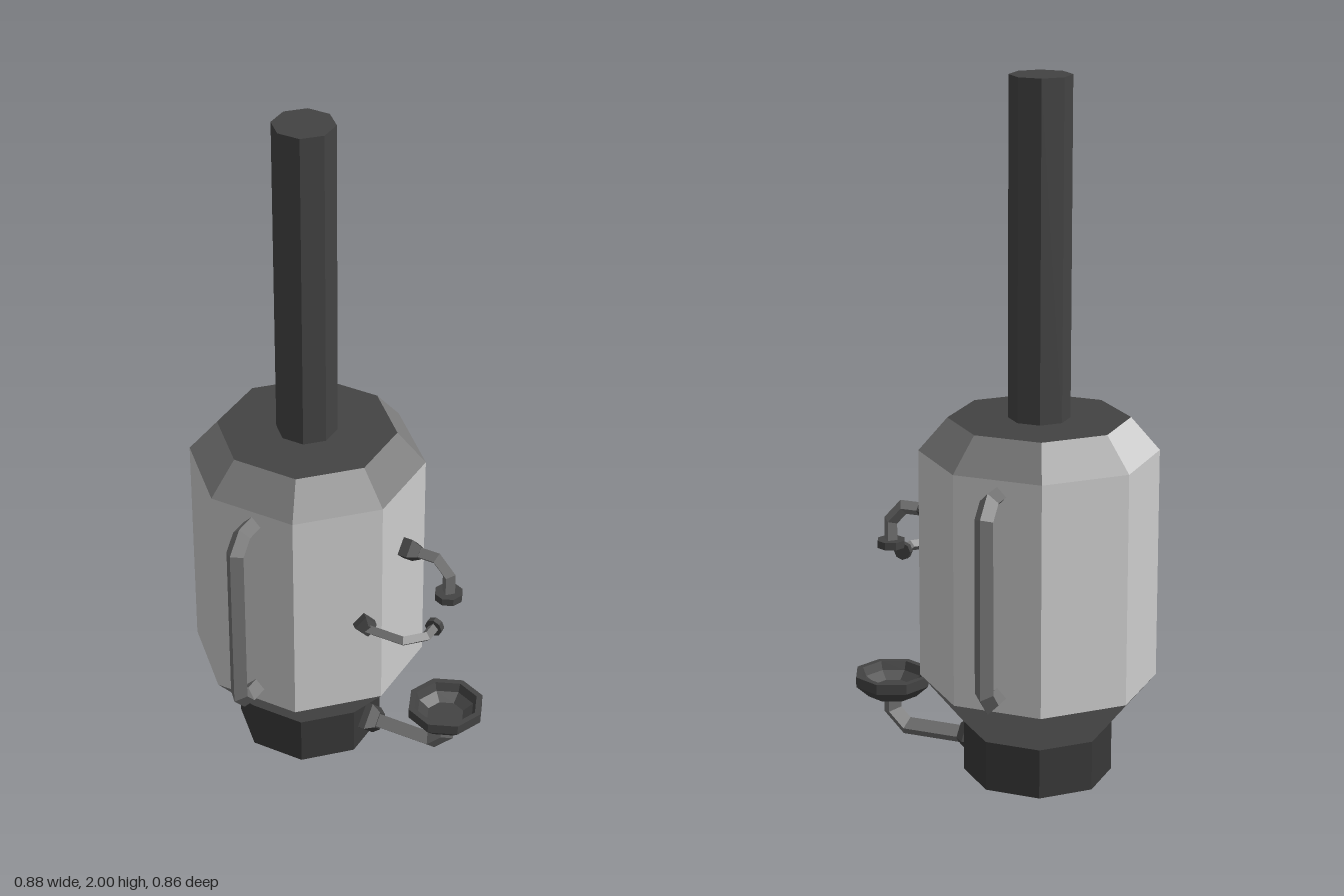
import * as THREE from 'three';

const V = (x, y, z) => new THREE.Vector3(x, y, z);
const K = 1 / Math.cos(Math.PI / 8); // flat-to-flat half width -> corner radius
const CX = -0.13;

export function createModel() {
  const group = new THREE.Group();
  const mat = (name, color) => {
    const m = new THREE.MeshStandardMaterial({ color, flatShading: true });
    m.name = name;
    return m;
  };
  const shell = mat('light steel', 0xcccccc);
  const collar = mat('mid grey', 0x7c7c7c);
  const iron = mat('dark iron', 0x434343);
  const baseMat = mat('black iron', 0x383838);
  const pipeMat = mat('pipe grey', 0x707070);

  const add = (name, geo, material, pos = V(0, 0, 0)) => {
    const mesh = new THREE.Mesh(geo, material);
    mesh.name = name;
    mesh.position.copy(pos);
    group.add(mesh);
    return mesh;
  };
  const lathe = (pts, seg, start = 0, len = Math.PI * 2) =>
    new THREE.LatheGeometry(pts.map(([r, y]) => new THREE.Vector2(r, y)), seg, start, len);
  // Octagonal body section with flats facing the axes
  const section = (name, pts, material, seg = 8, start = Math.PI / 8, len = Math.PI * 2) =>
    add(name, lathe(pts.map(([r, y]) => [r * K, y]), seg, start, len), material, V(CX, 0, 0));

  // Square pipe set on edge, mitred along a flat path with plane normal n
  const pipe = (name, path, r, n) => {
    const pos = [], idx = [];
    path.forEach((p, i) => {
      const a = path[Math.max(i - 1, 0)], b = path[Math.min(i + 1, path.length - 1)];
      const t1 = (i ? p.clone().sub(a) : b.clone().sub(p)).normalize();
      const t2 = (p !== b ? b.clone().sub(p) : t1.clone()).normalize();
      const t = t1.clone().add(t2).normalize();
      const side = t.clone().cross(n).multiplyScalar(r / t.dot(t1));
      const up = n.clone().multiplyScalar(r);
      [up, side, up.clone().negate(), side.clone().negate()]
        .forEach(o => pos.push(...p.clone().add(o).toArray()));
      if (i) for (let k = 0; k < 4; k++) {
        const c = i * 4 - 4 + k, d = i * 4 - 4 + (k + 1) % 4;
        idx.push(c, c + 4, d, d, c + 4, d + 4);
      }
    });
    const e = path.length * 4 - 4;
    idx.push(0, 1, 2, 0, 2, 3, e, e + 2, e + 1, e, e + 3, e + 2);
    // Turn the winding outward if needed
    const pt = i => V(pos[i * 3], pos[i * 3 + 1], pos[i * 3 + 2]);
    const nrm = pt(idx[1]).sub(pt(idx[0])).cross(pt(idx[2]).sub(pt(idx[0])));
    const out = pt(0).add(pt(1)).multiplyScalar(0.5).sub(path[0]);
    if (nrm.dot(out) < 0) idx.reverse();
    const g = new THREE.BufferGeometry();
    g.setAttribute('position', new THREE.Float32BufferAttribute(pos, 3));
    g.setIndex(idx);
    g.computeVertexNormals();
    return add(name, g, pipeMat);
  };

  // Four-sided tapered mount pointing along dir
  const mount = (name, pos, dir, r, len, start) => {
    const g = lathe([[0, 0], [r, 0], [r, len * 0.5], [r * 0.6, len], [0, len]], 4, start);
    add(name, g, iron, pos).quaternion.setFromUnitVectors(V(0, 1, 0), dir.normalize());
  };

  // Boiler body
  section('base', [[0, 0], [0.195, 0], [0.195, 0.145]], baseMat);
  section('lowerCone', [[0.195, 0.145], [0.31, 0.29]], collar);
  section('tank', [[0.31, 0.29], [0.31, 0.955]], shell);
  const slope = [[0.31, 0.955], [0.235, 1.05]];
  section('upperCone', slope, collar, 7, Math.PI * 13 / 8, Math.PI * 7 / 4);
  section('upperConePanel', slope, shell, 1, Math.PI * 11 / 8, Math.PI / 4);
  section('lid', [[0.235, 1.05], [0, 1.05]], iron);
  section('chimney', [[0.08, 1.05], [0.08, 2], [0, 2]], iron);

  // Front and back handles
  for (const s of [1, -1]) {
    const path = [[0.29, 0.91], [0.365, 0.91], [0.403, 0.868], [0.403, 0.377], [0.365, 0.335], [0.29, 0.335]];
    pipe(s > 0 ? 'frontHandle' : 'backHandle', path.map(([z, y]) => V(CX, y, z * s)), 0.027, V(1, 0, 0));
  }

  // Drain pipe and drip bowl
  mount('drainMount', V(0.06, 0.07, 0), V(1, 0, 0), 0.055, 0.05, 0);
  pipe('drainPipe', [V(0.08, 0.07, 0), V(0.28, 0.07, 0), V(0.325, 0.115, 0), V(0.325, 0.18, 0)], 0.027, V(0, 0, 1));
  add('dripBowl', lathe([[0, 0.165], [0.075, 0.165], [0.113, 0.2], [0.113, 0.23], [0.095, 0.23],
    [0.085, 0.205], [0.055, 0.185], [0, 0.185]], 8), iron, V(0.325, 0, 0));

  // Upper tap
  mount('upperTapMount', V(0.18, 0.74, 0), V(1, 0, 0), 0.037, 0.055, 0);
  pipe('upperTapPipe', [V(0.2, 0.74, 0), V(0.285, 0.74, 0), V(0.325, 0.695, 0), V(0.325, 0.63, 0)], 0.02, V(0, 0, 1));
  add('upperTapNozzle', new THREE.CylinderGeometry(0.041, 0.041, 0.022, 8), iron, V(0.325, 0.627, 0));

  // Side tap
  mount('sideTapMount', V(0.142, 0.575, 0.166), V(1, 0, 1), 0.032, 0.045, Math.PI / 4);
  pipe('sideTapPipe', [V(0.145, 0.575, 0.17), V(0.167, 0.575, 0.189), V(0.28, 0.575, 0.189),
    V(0.327, 0.575, 0.14), V(0.327, 0.575, 0.09)], 0.016, V(0, 1, 0));
  add('sideTapNozzle', new THREE.CylinderGeometry(0.026, 0.026, 0.018, 8), iron, V(0.327, 0.575, 0.089))
    .rotation.x = Math.PI / 2;

  return group;
}
